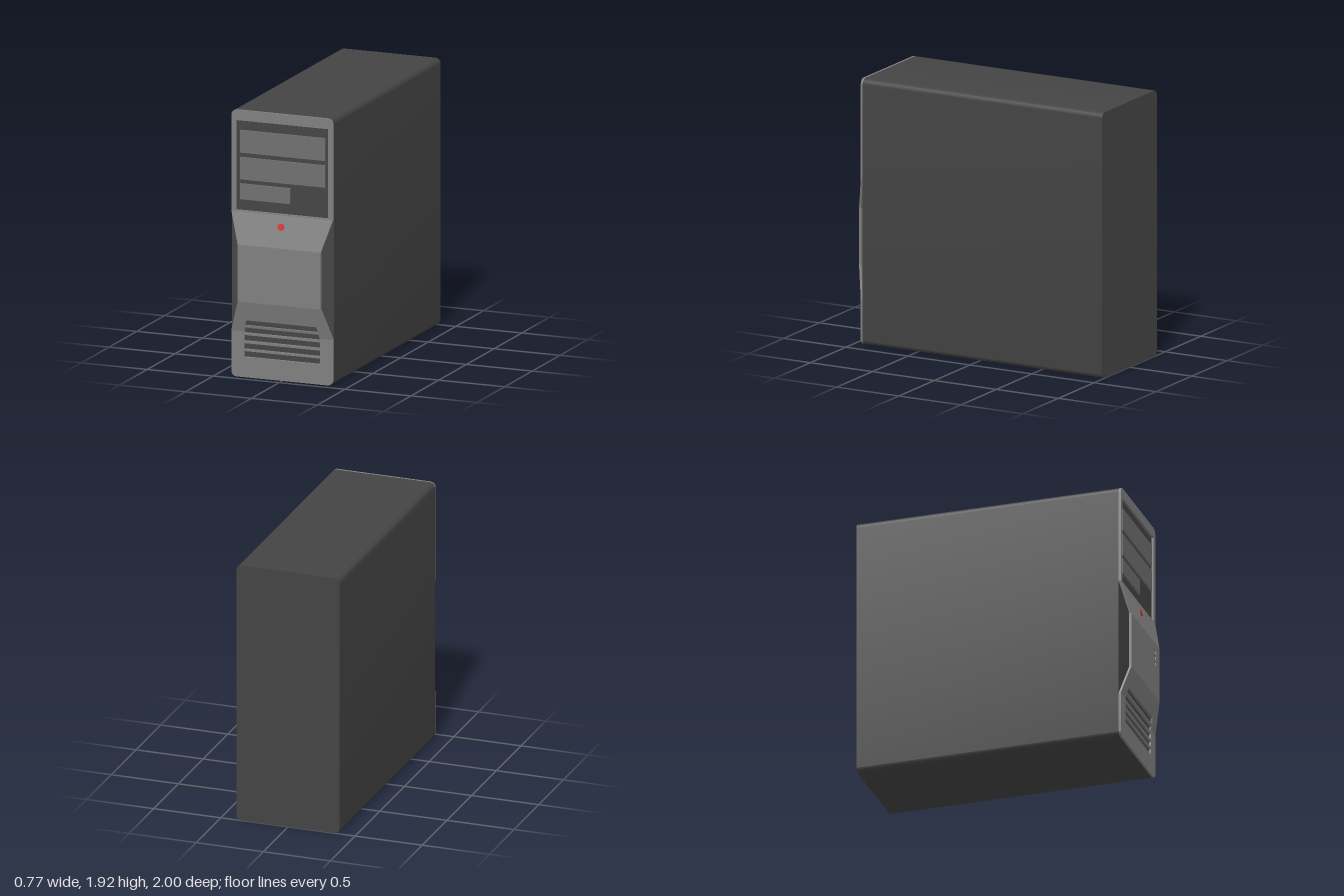
import * as THREE from 'three';
import { toCreasedNormals } from 'three/addons/utils/BufferGeometryUtils.js';

const W = 0.385, WAIST = 0.315, H = 1.92, R = 0.04;
const BACK = -1, SEAM = 0.93, SHEET = 0.016;
// Heights at which the front panel bends, and how far it bulges
const Y1 = 0.33, Y2 = 0.555, Y3 = 0.965, Y4 = 1.192, BULGE = 0.054;

const material = (color) => new THREE.MeshStandardMaterial({ color });

function bulge(y) {
  if (y <= Y1 || y >= Y4) return 0;
  if (y < Y2) return BULGE * (y - Y1) / (Y2 - Y1);
  if (y > Y3) return BULGE * (Y4 - y) / (Y4 - Y3);
  return BULGE;
}

const polygon = (points) => new THREE.Shape(points.map(([x, y]) => new THREE.Vector2(x, y)));
const rect = (x0, x1, y0, y1) => polygon([[x0, y0], [x1, y0], [x1, y1], [x0, y1]]);

// Rectangle with separate corner radii at the bottom and the top
function roundedRect(y0, y1, bottom, top) {
  const s = new THREE.Shape();
  s.moveTo(-W + bottom, y0);
  s.lineTo(W - bottom, y0);
  if (bottom) s.absarc(W - bottom, y0 + bottom, bottom, -Math.PI / 2, 0);
  s.lineTo(W, y1 - top);
  if (top) s.absarc(W - top, y1 - top, top, 0, Math.PI / 2);
  s.lineTo(-W + top, y1);
  if (top) s.absarc(-W + top, y1 - top, top, Math.PI / 2, Math.PI);
  s.lineTo(-W, y0 + bottom);
  if (bottom) s.absarc(-W + bottom, y0 + bottom, bottom, Math.PI, Math.PI * 1.5);
  return s;
}

const extrude = (shape, depth) =>
  new THREE.ExtrudeGeometry(shape, { depth, bevelEnabled: false, curveSegments: 8 });

export function createModel() {
  const model = new THREE.Group();
  const dark = material(0x444444), grey = material(0x808080);
  const driveGrey = material(0x707070), red = material(0xd02020);

  const add = (name, geometry, mat, parent = model) => {
    const mesh = new THREE.Mesh(geometry, mat);
    mesh.name = name;
    parent.add(mesh);
    return mesh;
  };

  // Case
  const body = extrude(roundedRect(0, H, R, R), SEAM - BACK);
  body.translate(0, 0, BACK);
  add('caseBody', toCreasedNormals(body, 0.6), dark);

  // Front panel: flat sections sheared in z to follow the bulge
  const panel = new THREE.Group();
  panel.name = 'frontPanel';
  model.add(panel);
  const addSection = (name, shape, holes = []) => {
    shape.holes.push(...holes);
    const g = extrude(shape, SHEET);
    const p = g.attributes.position;
    for (let i = 0; i < p.count; i++) p.setZ(i, p.getZ(i) + SEAM + bulge(p.getY(i)));
    add(name, toCreasedNormals(g, 0.6), grey, panel);
  };

  addSection('driveBayFrame', roundedRect(Y4, H, 0, R), [rect(-0.348, 0.348, 1.2, 1.845)]);
  addSection('upperSlope', polygon([[-WAIST, Y3], [WAIST, Y3], [W, Y4], [-W, Y4]]));

  const lightRows = [0.795, 0.84, 0.885];
  addSection('middlePanel', rect(-WAIST, WAIST, Y2, Y3),
    lightRows.map((y) => rect(0.18, 0.232, y, y + 0.026)));

  // Vent sections; one slot crosses the lower bend, so it is a notch in both
  addSection('lowerSlope', polygon([
    [-W, Y1], [-0.285, Y1], [-0.28, 0.36], [0.28, 0.36], [0.285, Y1], [W, Y1],
    [WAIST, Y2], [-WAIST, Y2],
  ]), [polygon([[-0.277, 0.377], [0.277, 0.377], [0.266, 0.416], [-0.266, 0.416]])]);

  const base = new THREE.Shape();
  base.moveTo(-W + R, 0);
  base.lineTo(W - R, 0);
  base.absarc(W - R, R, R, -Math.PI / 2, 0);
  for (const [x, y] of [[W, Y1], [0.287, Y1], [0.287, 0.321], [-0.287, 0.321], [-0.287, Y1], [-W, Y1]])
    base.lineTo(x, y);
  base.lineTo(-W, R);
  base.absarc(-W + R, R, R, Math.PI, Math.PI * 1.5);
  addSection('basePanel', base,
    [0.147, 0.204, 0.263].map((y) => rect(-0.287, 0.287, y, y + 0.041)));

  // Drive covers inside the bay
  for (const [x1, y0, y1] of [[0.322, 1.612, 1.775], [0.322, 1.42, 1.58], [0.058, 1.277, 1.39]]) {
    const cover = extrude(rect(-0.322, x1, y0, y1), 0.016);
    cover.translate(0, 0, SEAM - 0.004);
    add('driveCover', cover, driveGrey);
  }

  // Small indicator inserts set into the middle panel
  for (const y of lightRows) {
    const insert = add('indicator', new THREE.BoxGeometry(0.052, 0.026, 0.01), grey);
    insert.position.set(0.206, y + 0.013, SEAM + BULGE + 0.006);
  }

  // Power button, square to the upper slope
  const button = add('powerButton', new THREE.CylinderGeometry(0.025, 0.025, 0.016, 16), red);
  button.position.set(0, 1.11, SEAM + SHEET + bulge(1.11) - 0.003);
  button.rotation.x = Math.atan2(Y4 - Y3, BULGE);

  return model;
}
